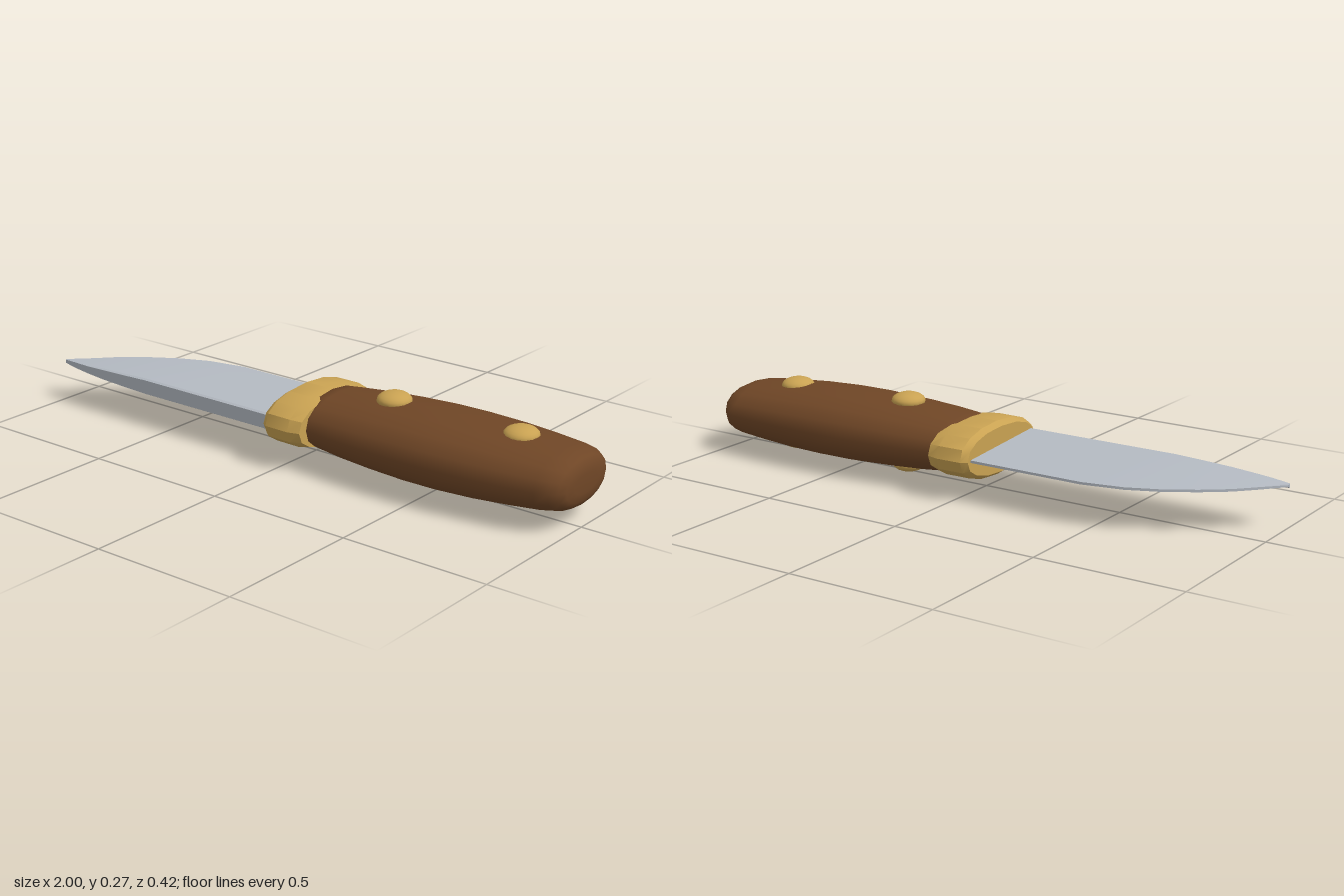
import * as THREE from 'three';
import { toCreasedNormals } from 'three/addons/utils/BufferGeometryUtils.js';

const MID = 0.14; // height of the knife's centre plane

const wood = new THREE.MeshStandardMaterial({ color: 0x6f4626 });
wood.name = 'wood';
const brass = new THREE.MeshStandardMaterial({ color: 0xc9a252 });
brass.name = 'brass';
const steel = new THREE.MeshStandardMaterial({ color: 0xb4bac2 });
steel.name = 'steel';

// Skin rings of [x, y, z] points, ordered along +x and turning from +y to +z
function loft(rings) {
  const n = rings[0].length;
  const pos = rings.flat(2);
  const index = [];
  for (let i = 0; i < rings.length - 1; i++) {
    for (let j = 0; j < n; j++) {
      const a = i * n + j, b = i * n + (j + 1) % n;
      index.push(a, b, a + n, b, b + n, a + n);
    }
  }
  // Close both ends with a fan
  [0, rings.length - 1].forEach((r, end) => {
    const c = pos.length / 3;
    for (let k = 0; k < 3; k++) pos.push(rings[r].reduce((s, p) => s + p[k], 0) / n);
    for (let j = 0; j < n; j++) {
      const a = r * n + j, b = r * n + (j + 1) % n;
      if (end) index.push(c, a, b);
      else index.push(c, b, a);
    }
  });
  const g = new THREE.BufferGeometry();
  g.setAttribute('position', new THREE.Float32BufferAttribute(pos, 3));
  g.setIndex(index);
  g.computeVertexNormals();
  return g;
}

// Slightly squared oval ring at x, spanning zBack..zFront with half height h
function oval(x, zBack, zFront, h, n = 16) {
  const soft = v => Math.sign(v) * Math.abs(v) ** 0.9;
  return Array.from({ length: n }, (_, j) => {
    const a = j / n * Math.PI * 2;
    return [x, MID + h * soft(Math.cos(a)),
      (zBack + zFront) / 2 + (zFront - zBack) / 2 * soft(Math.sin(a))];
  });
}

function add(group, name, geometry, material) {
  const mesh = new THREE.Mesh(geometry, material);
  mesh.name = name;
  group.add(mesh);
  return mesh;
}

export function createModel() {
  const knife = new THREE.Group();
  knife.name = 'knife';

  // Blade: x, cutting edge z, spine z, half thickness of the spine
  const stations = [
    [-1, 0.147, 0.155, 0.007], [-0.94, 0.08, 0.165, 0.012], [-0.877, 0.012, 0.173, 0.015],
    [-0.797, -0.05, 0.178, 0.02], [-0.7, -0.11, 0.18, 0.024], [-0.6, -0.153, 0.18, 0.028],
    [-0.465, -0.18, 0.18, 0.028], [0, -0.18, 0.18, 0.028],
  ];
  const bladeRings = stations.map(([x, edge, spine, t]) => {
    const e = Math.min(0.004, t * 0.4);
    const bevel = Math.min(0.008, (spine - edge) / 2);
    return [
      [x, MID + t, spine - bevel], [x, MID + t * 0.85, spine],
      [x, MID - t * 0.85, spine], [x, MID - t, spine - bevel],
      [x, MID - e, edge], [x, MID + e, edge],
    ];
  });
  add(knife, 'blade', toCreasedNormals(loft(bladeRings), 0.35), steel);

  // Bolster: bevelled oval collar between blade and handle
  const bolsterRings = [
    [-0.06, 0.195, 0.076], [-0.04, 0.21, 0.09], [0.05, 0.212, 0.09], [0.09, 0.2, 0.082],
  ].map(([x, w, h]) => oval(x, -w, w, h));
  add(knife, 'bolster', toCreasedNormals(loft(bolsterRings), 0.6), brass);

  // Handle: x, back z, front z, half height
  const handleRings = [
    [0.03, -0.162, 0.158, 0.085], [0.1, -0.173, 0.167, 0.091], [0.2, -0.188, 0.18, 0.1],
    [0.32, -0.2, 0.19, 0.107], [0.45, -0.208, 0.195, 0.112], [0.57, -0.21, 0.194, 0.112],
    [0.7, -0.207, 0.184, 0.108], [0.82, -0.199, 0.168, 0.1], [0.92, -0.188, 0.15, 0.092],
    [0.96, -0.177, 0.135, 0.086], [0.985, -0.155, 0.115, 0.074], [0.997, -0.125, 0.09, 0.055],
    [1, -0.08, 0.05, 0.03],
  ].map(s => oval(...s));
  add(knife, 'handle', loft(handleRings), wood);

  // Domed rivets on both faces of the handle: x, z, offset, dome height
  const dome = new THREE.SphereGeometry(1, 16, 12);
  for (const [x, z, offset, h] of [[0.31, -0.003, 0.107, 0.029], [0.77, -0.018, 0.097, 0.029]]) {
    for (const side of [1, -1]) {
      const rivet = add(knife, 'rivet', dome, brass);
      rivet.position.set(x, MID + side * offset, z);
      rivet.scale.set(0.057, h, 0.057);
    }
  }
  return knife;
}
